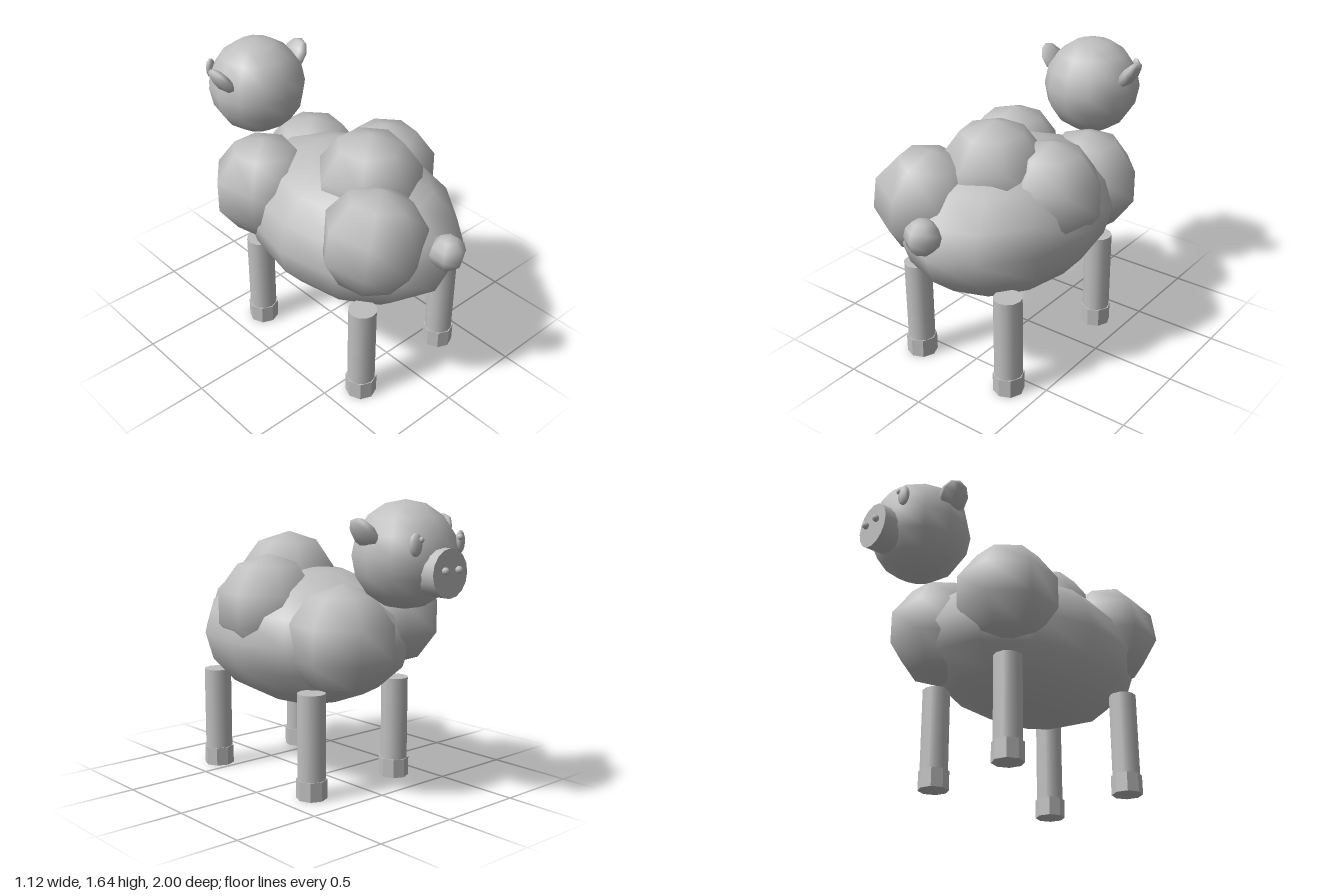
import * as THREE from 'three';

const wool = new THREE.MeshStandardMaterial({ color: 0xbfbfbf });
wool.name = 'grey wool';
// separate flat-shaded copy of the same grey for the faceted hooves is avoided by un-indexing the geometry

export function createModel() {
  const root = new THREE.Group();
  root.name = 'sheep';

  const add = (name, geometry, x, y, z) => {
    const mesh = new THREE.Mesh(geometry, wool);
    mesh.name = name;
    mesh.position.set(x, y, z);
    root.add(mesh);
    return mesh;
  };

  // Sphere with a vertex column facing +z, scaled to the given radii
  const ball = (name, [x, y, z], [rx, ry, rz], segments, rings, spin = 0) => {
    const g = new THREE.SphereGeometry(1, segments, rings).rotateY(Math.PI / 2 + spin);
    const mesh = add(name, g, x, y, z);
    mesh.scale.set(rx, ry, rz);
    return mesh;
  };

  // Body and head
  ball('body', [0, 0.84, 0.17], [0.53, 0.41, 0.72], 12, 8);
  ball('head', [0, 1.357, -0.65], [0.287, 0.287, 0.287], 12, 8);
  ball('tail', [0, 0.98, 0.9], [0.1, 0.1, 0.1], 6, 6);

  // Wool tufts: x, y, z, radius, spin, tilt
  const tufts = [
    [0, 1.12, 0.307, 0.31, 0, 0],
    [0.27, 1.02, 0.16, 0.302, 0.04, 0],
    [-0.24, 1.01, 0.595, 0.297, 0, -0.17],
    [-0.29, 0.97, -0.25, 0.3, 0, 0],
    [0.17, 0.88, -0.355, 0.31, 0.05, 0],
  ];
  for (const [x, y, z, r, spin, tilt] of tufts) {
    ball('woolTuft', [x, y, z], [r, r, r], 7, 5, spin).rotation.z = tilt;
  }

  // Snout, a short drum along z
  const snout = new THREE.CylinderGeometry(0.128, 0.128, 0.13, 16).rotateX(Math.PI / 2);
  add('snout', snout, 0, 1.283, -0.902);

  const legGeometry = new THREE.CylinderGeometry(0.08, 0.08, 0.52, 12);
  const hoofGeometry = new THREE.CylinderGeometry(0.088, 0.088, 0.11, 8).toNonIndexed();
  hoofGeometry.computeVertexNormals();

  for (const side of [-1, 1]) {
    const label = side > 0 ? 'left' : 'right';

    // Nostril, eye and pupil
    ball(label + 'Nostril', [side * 0.05, 1.3, -0.98], [0.02, 0.02, 0.02], 8, 6);
    ball(label + 'Eye', [side * 0.165, 1.43, -0.883], [0.036, 0.06, 0.022], 10, 8)
      .rotation.y = -side * 0.3;
    ball(label + 'Pupil', [side * 0.145, 1.455, -0.9], [0.016, 0.016, 0.016], 8, 6);

    // Ear, a flattened ball leaning outwards
    ball(label + 'Ear', [side * 0.272, 1.475, -0.625], [0.04, 0.1, 0.093], 7, 5)
      .rotation.z = -side * 0.6;

    // Legs with faceted hooves
    for (const z of [-0.27, 0.61]) {
      const end = z < 0 ? 'Front' : 'Back';
      add(label + end + 'Leg', legGeometry, side * 0.32, 0.335, z);
      add(label + end + 'Hoof', hoofGeometry, side * 0.32, 0.055, z);
    }
  }

  return root;
}
